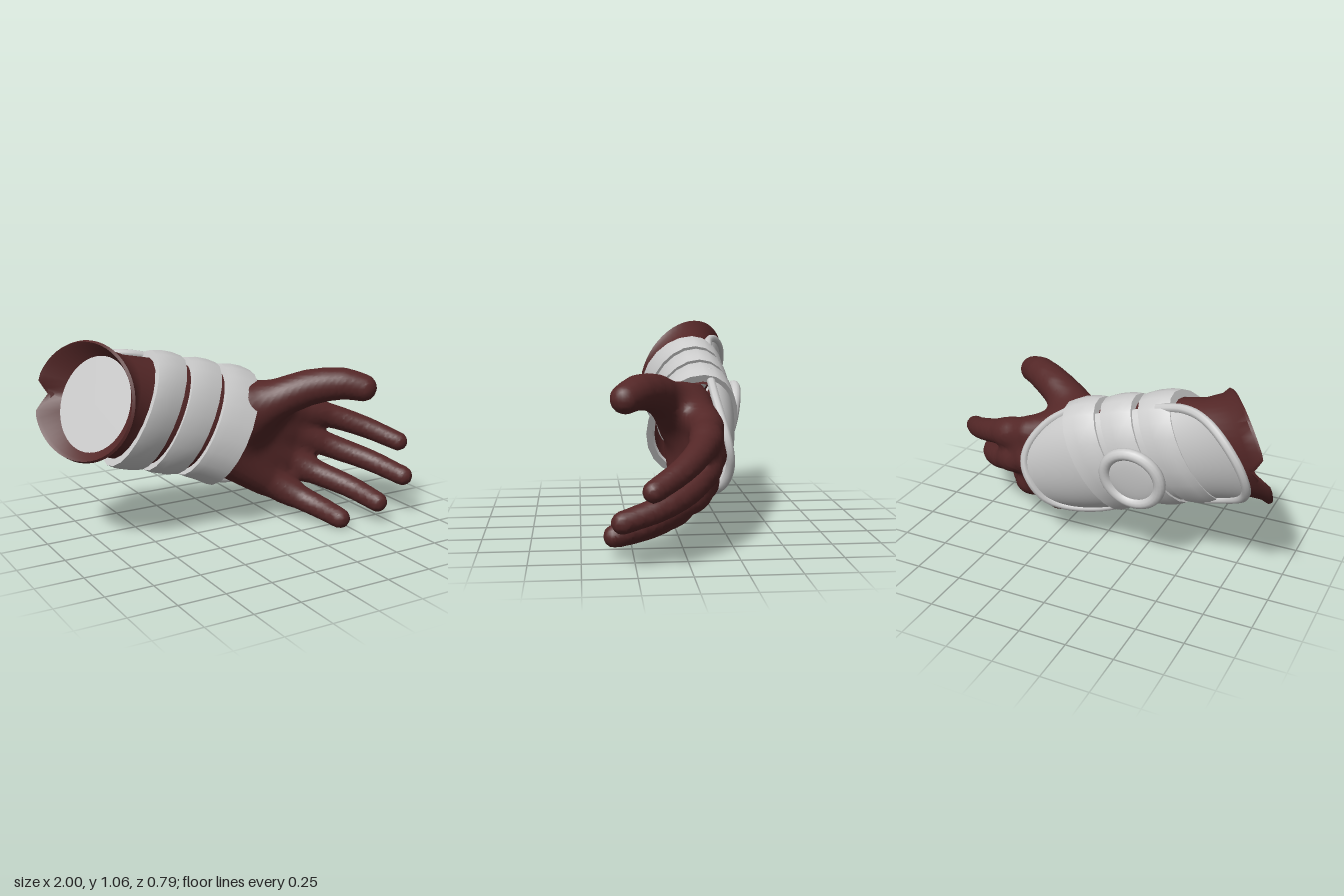
import * as THREE from 'three';
import { toCreasedNormals } from 'three/addons/utils/BufferGeometryUtils.js';

const V = (x, y, z) => new THREE.Vector3(x, y, z);
const TAU = Math.PI * 2;
const { lerp, clamp } = THREE.MathUtils;
const red = new THREE.MeshStandardMaterial({ color: 0x542727, side: THREE.DoubleSide });
const grey = new THREE.MeshStandardMaterial({ color: 0xcccccc, side: THREE.DoubleSide });

function indexed(points, index) {
  const geo = new THREE.BufferGeometry().setFromPoints(points);
  geo.setIndex(index);
  geo.computeVertexNormals();
  return geo;
}

// Surface through rows of points; wrap joins the end of each row to its start
function skin(rows, wrap = true) {
  const n = rows[0].length, index = [];
  for (let i = 0; i < rows.length - 1; i++) {
    for (let j = 0; j < (wrap ? n : n - 1); j++) {
      const a = i * n + j, b = i * n + (j + 1) % n;
      index.push(a, b, a + n, b, b + n, a + n);
    }
  }
  return indexed(rows.flat(), index);
}

// Oval of points: centre c, half-axes u (towards the thumb side) and w (towards the palm)
function oval(c, u, w, shift = () => 0) {
  return Array.from({ length: 48 }, (_, j) => {
    const a = j / 48 * TAU;
    const p = c.clone().addScaledVector(u, Math.cos(a)).addScaledVector(w, Math.sin(a));
    p.x += shift(a);
    return p;
  });
}

// Point on the forearm's oblique hull: x along the arm, angle a around it, scale k.
// The palm side is waisted, and the line dips beyond the wrist.
function hull(x, a, k) {
  const c = Math.cos(a) * k, s = Math.sin(a) * k;
  const waist = 0.035 * Math.min(1.3, ((x + 0.28) / 0.28) ** 2) * Math.max(0, s);
  const dip = 0.25 * Math.max(0, x + 0.08);
  return V(x + 0.15 * c - 0.01 * s, 0.55 - 0.28 * x - dip + 0.28 * c, -0.115 - 0.03 * c + 0.212 * s + waist);
}
const hullRing = (x, k, n) => Array.from({ length: n }, (_, j) => hull(x, j / n * TAU, k));

// Armour plate on the back of the arm, from x0 over a length, with an end rounded by power p
function plate(x0, length, p, span, k0, k1) {
  const rows = [];
  for (let i = 0; i <= 32; i++) {
    const v = i / 16 - 1, reach = Math.sqrt(Math.max(0, 1 - Math.abs(v) ** p));
    rows.push(Array.from({ length: 9 }, (_, j) => {
      const w = j / 8 * reach;
      return hull(x0 + length * w, -Math.PI / 2 + v * span, lerp(k0, k1, w * w));
    }));
  }
  return { surface: skin(rows, false), edge: new THREE.CatmullRomCurve3(rows.map(r => r[8])) };
}

// Chain of tapering capsules along a curve, as [start, end, startRadius, endRadius]
function bone(points, r0, r1, n) {
  const pts = new THREE.CatmullRomCurve3(points.map(p => V(...p))).getPoints(n);
  return pts.slice(1).map((p, i) => [pts[i], p, lerp(r0, r1, i / n), lerp(r0, r1, (i + 1) / n)]);
}
function capsuleDistance(x, y, z, [a, b, ra, rb]) {
  const dx = b.x - a.x, dy = b.y - a.y, dz = b.z - a.z;
  const px = x - a.x, py = y - a.y, pz = z - a.z;
  const t = clamp((px * dx + py * dy + pz * dz) / (dx * dx + dy * dy + dz * dz), 0, 1);
  return Math.hypot(px - dx * t, py - dy * t, pz - dz * t) - lerp(ra, rb, t);
}
const chainDistance = (x, y, z, chain) => chain.reduce((d, c) => Math.min(d, capsuleDistance(x, y, z, c)), 9);
function blend(a, b, k) {
  const h = clamp(0.5 + 0.5 * (b - a) / k, 0, 1);
  return lerp(b, a, h) - k * h * (1 - h);
}

// Smooth mesh of the surface where field is zero: one vertex per crossed grid cell
function implicitSurface(field, min, max, step) {
  const [nx, ny, nz] = [0, 1, 2].map(i => Math.ceil((max[i] - min[i]) / step) + 1);
  const strides = [1, nx, nx * ny], values = new Float32Array(nx * ny * nz);
  const each = (lo, fn) => {
    for (let k = lo; k < nz - lo; k++) for (let j = lo; j < ny - lo; j++) for (let i = lo; i < nx - lo; i++)
      fn(i, j, k, i + nx * (j + ny * k));
  };
  each(0, (i, j, k, id) => { values[id] = field(min[0] + i * step, min[1] + j * step, min[2] + k * step); });
  const points = [], cell = new Map(), index = [];
  each(1, (i, j, k, id) => {
    const sum = V(0, 0, 0);
    let count = 0;
    for (let c = 0; c < 8; c++) for (let d = 0; d < 3; d++) {
      if (c >> d & 1) continue;
      const o = [c & 1, c >> 1 & 1, c >> 2];
      const from = id + o[0] + o[1] * nx + o[2] * nx * ny;
      const a = values[from], b = values[from + strides[d]];
      if (a < 0 === b < 0) continue;
      o[d] += a / (a - b);
      sum.add(V(...o));
      count++;
    }
    if (!count) return;
    cell.set(id, points.length);
    points.push(sum.divideScalar(count).add(V(i, j, k)).multiplyScalar(step).add(V(...min)));
  });
  each(2, (i, j, k, id) => {
    for (let d = 0; d < 3; d++) {
      const inside = values[id] < 0;
      if (inside === values[id + strides[d]] < 0) continue;
      const u = strides[(d + 1) % 3], w = strides[(d + 2) % 3];
      const [a, b, c, e] = [id - u - w, id - w, id, id - u].map(q => cell.get(q));
      if (inside) index.push(a, b, c, a, c, e);
      else index.push(a, c, b, a, e, c);
    }
  });
  return indexed(points, index);
}

export function createModel() {
  const glove = new THREE.Group();
  glove.name = 'armouredGlove';
  const add = (name, geo, mat, parent = glove) => {
    const mesh = new THREE.Mesh(geo, mat);
    mesh.name = name;
    parent.add(mesh);
    return mesh;
  };

  // Sleeve: inner wall, slanted notched rim, flare, then down to the wrist
  const notch = a => 0.07 * Math.max(0, 1 - Math.abs(a - Math.PI * 1.5) / 0.28);
  const lining = oval(V(-0.76, 0.75, -0.12), V(0.08, 0.23, -0.04), V(0.1, 0, 0.2));
  add('sleeve', toCreasedNormals(skin([
    lining,
    oval(V(-0.81, 0.767, -0.125), V(0.065, 0.27, -0.06), V(0.155, 0, 0.235), notch),
    oval(V(-0.825, 0.77, -0.125), V(0.065, 0.285, -0.065), V(0.16, 0, 0.245), notch),
    oval(V(-0.81, 0.768, -0.125), V(0.067, 0.293, -0.065), V(0.16, 0, 0.25), notch),
    oval(V(-0.775, 0.758, -0.123), V(0.08, 0.265, -0.055), V(0.13, 0, 0.23)),
    oval(V(-0.69, 0.738, -0.12), V(0.105, 0.24, -0.04), V(0.07, 0, 0.21)),
    hullRing(-0.5, 0.87, 48), hullRing(-0.2, 0.87, 48), hullRing(0.0, 0.86, 48),
  ]), 0.9), red);
  add('sleeveLining', skin([lining.map(() => V(-0.76, 0.75, -0.12)), lining]), grey);

  // Hand: four palm bones fused together, with each digit blended into the palm
  const palm = [
    bone([[0.02, 0.675, -0.065], [0.4, 0.585, -0.125], [0.56, 0.54, -0.105]], 0.11, 0.07, 2),
    bone([[-0.02, 0.57, -0.09], [0.4, 0.44, -0.135], [0.54, 0.39, -0.1]], 0.12, 0.07, 2),
    bone([[-0.06, 0.48, -0.09], [0.35, 0.295, -0.105], [0.46, 0.245, -0.05]], 0.12, 0.07, 2),
    bone([[-0.08, 0.405, -0.075], [0.2, 0.215, -0.05], [0.32, 0.145, 0.02]], 0.112, 0.068, 2),
  ];
  const digits = [
    bone([[0.08, 0.6, -0.03], [0.18, 0.67, 0.03], [0.36, 0.75, 0.12], [0.52, 0.775, 0.22], [0.605, 0.755, 0.284]], 0.12, 0.074, 8),
    bone([[0.54, 0.55, -0.11], [0.68, 0.505, -0.06], [0.83, 0.445, 0.04], [0.95, 0.38, 0.175]], 0.074, 0.053, 8),
    bone([[0.52, 0.4, -0.11], [0.66, 0.335, -0.03], [0.8, 0.275, 0.12], [0.88, 0.225, 0.312]], 0.074, 0.054, 8),
    bone([[0.44, 0.255, -0.07], [0.53, 0.21, 0.03], [0.63, 0.16, 0.17], [0.685, 0.115, 0.342]], 0.074, 0.055, 8),
    bone([[0.3, 0.155, 0.0], [0.37, 0.11, 0.09], [0.42, 0.08, 0.19], [0.455, 0.054, 0.315]], 0.072, 0.055, 8),
  ];
  const handField = (x, y, z) => {
    const base = palm.reduce((d, c) => blend(d, chainDistance(x, y, z, c), 0.075), 9);
    return digits.reduce((d, c, i) => Math.min(d, blend(base, chainDistance(x, y, z, c), i ? 0.04 : 0.13)), 9);
  };
  add('hand', implicitSurface(handField, [-0.28, -0.06, -0.32], [1.06, 0.94, 0.46], 0.0185), red);

  // Three slanted straps wrapped around the forearm
  const profile = [[-1, 0.86], [-1, 0.99], [-0.5, 1.02], [0.3, 1.02], [1, 0.99], [1, 0.86]];
  [-0.49, -0.285, -0.083].forEach((x, i) => {
    const flare = i === 2 ? 0.05 : 0;
    const rows = profile.map(([d, k]) => hullRing(x + d * 0.083, k + flare * Math.max(0, d), 22));
    add('strap' + (i + 1), toCreasedNormals(skin(rows), 0.7), grey);
  });

  // Back plates: a plain one under the straps and two rimmed end plates
  add('bracerPlate', plate(-0.55, 0.55, 40, 1.15, 0.94, 0.94).surface, grey);
  const ends = { handPlate: [-0.07, 0.4, 3, 1.4, 0.96, 0.66], elbowPlate: [-0.5, -0.34, 1.8, 1.1, 0.95, 1.14] };
  for (const [name, args] of Object.entries(ends)) {
    const { surface, edge } = plate(...args);
    add(name, surface, grey);
    add(name + 'Rim', new THREE.TubeGeometry(edge, 48, 0.023, 8), grey);
  }

  // Round buckle with a domed centre
  const buckle = new THREE.Group();
  buckle.name = 'buckle';
  add('buckleRing', new THREE.TorusGeometry(0.148, 0.031, 12, 36), grey, buckle);
  add('buckleDome', new THREE.SphereGeometry(0.14, 28, 14), grey, buckle).scale.z = 0.15;
  buckle.position.set(-0.29, 0.57, -0.342);
  buckle.rotation.x = -0.17;
  glove.add(buckle);
  return glove;
}
